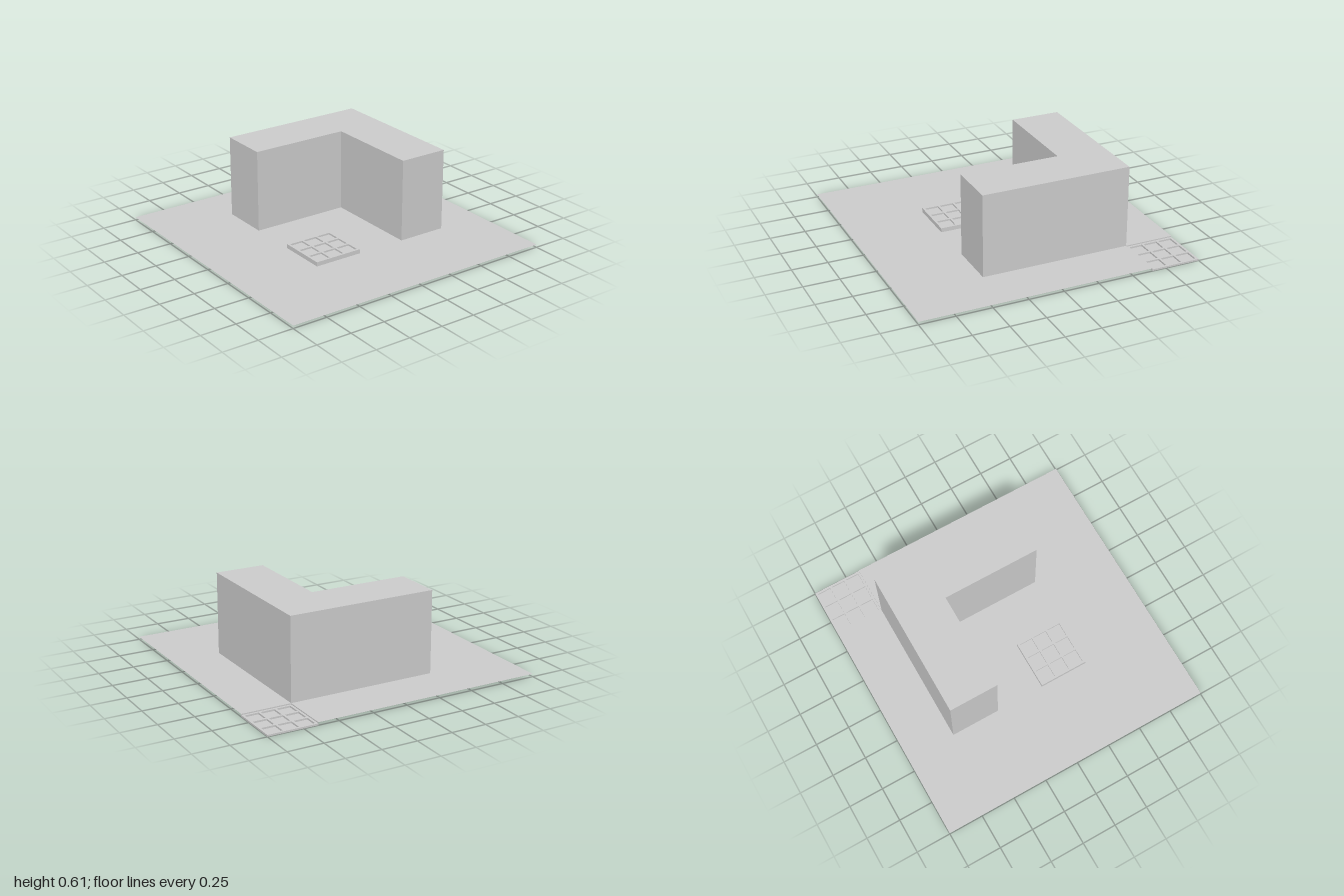
import * as THREE from 'three';
import { mergeGeometries } from 'three/addons/utils/BufferGeometryUtils.js';

const U = 2 / 17;        // plan module: the site is 17 x 17 units
const GROUND = 0.02;
const ROOF = 0.605;
const PAD_TOP = 0.05;
const RELIEF = 0.012;    // height of the lattice bars on the pads

const at = (n) => -1 + n * U;
const plan = (pts) => pts.map(([a, b]) => new THREE.Vector2(at(a), at(b))); // (x, z)
const square = (a, b) => plan([[a, b], [a + 3, b], [a + 3, b + 3], [a, b + 3]]);

const material = new THREE.MeshStandardMaterial({
  color: 0xcccccc, flatShading: true, side: THREE.DoubleSide,
});

function part(name, geometry) {
  const mesh = new THREE.Mesh(geometry, material);
  mesh.name = name;
  return mesh;
}

// Flat horizontal sheet with optional holes
function sheet(outline, y, holes = []) {
  const flip = (pts) => pts.map((p) => new THREE.Vector2(p.x, -p.y));
  const shape = new THREE.Shape(flip(outline));
  holes.forEach((h) => shape.holes.push(new THREE.Path(flip(h))));
  return new THREE.ShapeGeometry(shape).rotateX(-Math.PI / 2).translate(0, y, 0);
}

// Vertical walls along a plan line
function walls(line, y0, y1, closed = true) {
  const pos = [];
  const count = closed ? line.length : line.length - 1;
  for (let i = 0; i < count; i++) {
    const a = line[i], b = line[(i + 1) % line.length];
    pos.push(a.x, y0, a.y, a.x, y1, a.y, b.x, y1, b.y);
    pos.push(a.x, y0, a.y, b.x, y1, b.y, b.x, y0, b.y);
  }
  const g = new THREE.BufferGeometry();
  g.setAttribute('position', new THREE.Float32BufferAttribute(pos, 3));
  g.computeVertexNormals();
  return g;
}

// 3 x 3 lattice of low bars on a pad
function lattice(a, b, y) {
  const size = 3 * U, w = 0.016, bars = [];
  for (let i = 0; i < 4; i++) {
    const offset = w / 2 + (i * (size - w)) / 3;
    bars.push(new THREE.BoxGeometry(w, RELIEF, size)
      .translate(at(a) + offset, y + RELIEF / 2, at(b) + size / 2));
    bars.push(new THREE.BoxGeometry(size, RELIEF, w)
      .translate(at(a) + size / 2, y + RELIEF / 2, at(b) + offset));
  }
  return mergeGeometries(bars);
}

export function createModel() {
  const model = new THREE.Group();
  model.name = 'courtyardBlock';

  const building = plan([[5, 3], [14, 3], [14, 12], [11, 12], [11, 6], [5, 6]]);
  const pad = square(5, 9);
  const corner = square(14, 0);

  // Ground sheet, cut out under the building, the pad and the sunken corner
  const site = plan([[0, 0], [14, 0], [14, 3], [17, 3], [17, 17], [0, 17]]);
  // The building touches the corner cut-out, so its tip is held back a hair
  const buildingHole = building.map((p) => p.clone());
  buildingHole[1].x -= 0.0005;
  buildingHole[1].y += 0.0005;
  model.add(part('ground', sheet(site, GROUND, [buildingHole, pad])));

  // L-shaped building, open underneath
  model.add(part('buildingWalls', walls(building, GROUND, ROOF)));
  model.add(part('buildingRoof', sheet(building, ROOF)));

  // Raised pad in the courtyard
  const padFloor = PAD_TOP - RELIEF;
  model.add(part('padWalls', walls(pad, GROUND, padFloor)));
  model.add(part('padFloor', sheet(pad, padFloor)));
  model.add(part('padLattice', lattice(5, 9, padFloor)));

  // Sunken pad in the back corner
  model.add(part('cornerWalls', walls(plan([[14, 0], [14, 3], [17, 3]]), 0, GROUND, false)));
  model.add(part('cornerFloor', sheet(corner, 0)));
  model.add(part('cornerLattice', lattice(14, 0, 0)));

  return model;
}
